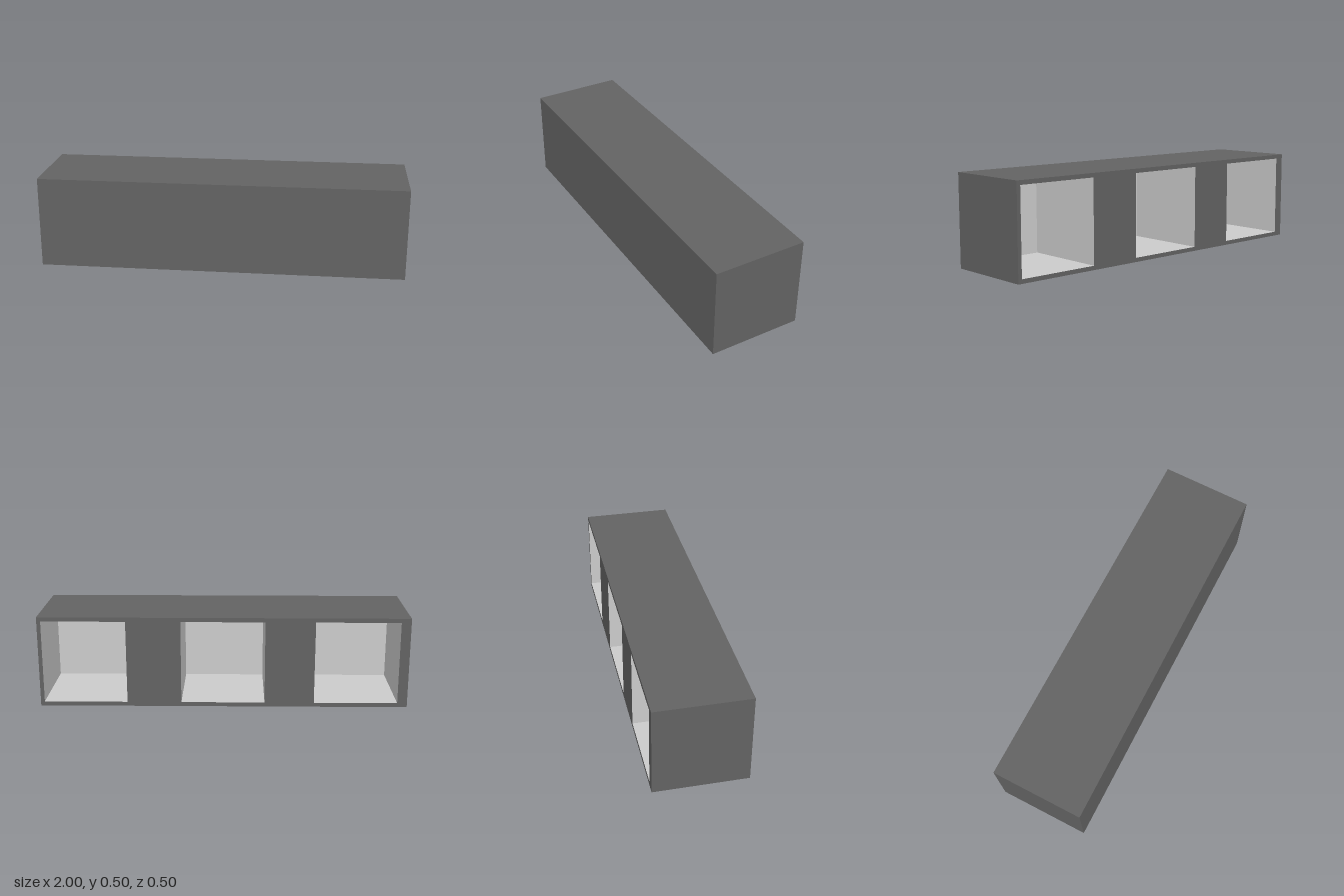
import * as THREE from 'three';

const LENGTH = 2, SIZE = 0.5, WALL = 0.023;
const OPENING = SIZE - 2 * WALL;
const DEPTH = SIZE - WALL;
const CENTRES = [0.752, 0.003, -0.72];

// Box without its back (-z) face
function openBox(w, h, d) {
  const geometry = new THREE.BoxGeometry(w, h, d);
  geometry.setIndex(Array.from(geometry.index.array).slice(0, 30));
  geometry.clearGroups();
  return geometry;
}

function rectangle(path, cx, cy, w, h) {
  path.moveTo(cx - w / 2, cy - h / 2);
  path.lineTo(cx + w / 2, cy - h / 2);
  path.lineTo(cx + w / 2, cy + h / 2);
  path.lineTo(cx - w / 2, cy + h / 2);
  path.closePath();
  return path;
}

export function createModel() {
  const group = new THREE.Group();
  const dark = new THREE.MeshStandardMaterial({ color: 0x636363 });
  const light = new THREE.MeshStandardMaterial({ color: 0xcccccc });

  const add = (name, geometry, material, x, y, z) => {
    const mesh = new THREE.Mesh(geometry, material);
    mesh.name = name;
    mesh.position.set(x, y, z);
    group.add(mesh);
  };

  // Outer casing, open at the back
  add('casing', openBox(LENGTH, SIZE, SIZE), dark, 0, SIZE / 2, 0);

  // Back frame with three square openings (x mirrored by the half turn)
  const frame = rectangle(new THREE.Shape(), 0, 0, LENGTH, SIZE);
  for (const x of CENTRES) frame.holes.push(rectangle(new THREE.Path(), -x, 0, OPENING, OPENING));
  add('backFrame', new THREE.ShapeGeometry(frame).rotateY(Math.PI), dark, 0, SIZE / 2, -SIZE / 2);

  // Compartment linings: open boxes turned inside out
  const lining = openBox(OPENING, OPENING, DEPTH).scale(-1, 1, 1);
  lining.computeVertexNormals();
  CENTRES.forEach((x, i) => add(`compartment${i + 1}`, lining, light, x, SIZE / 2, -WALL / 2));

  return group;
}
